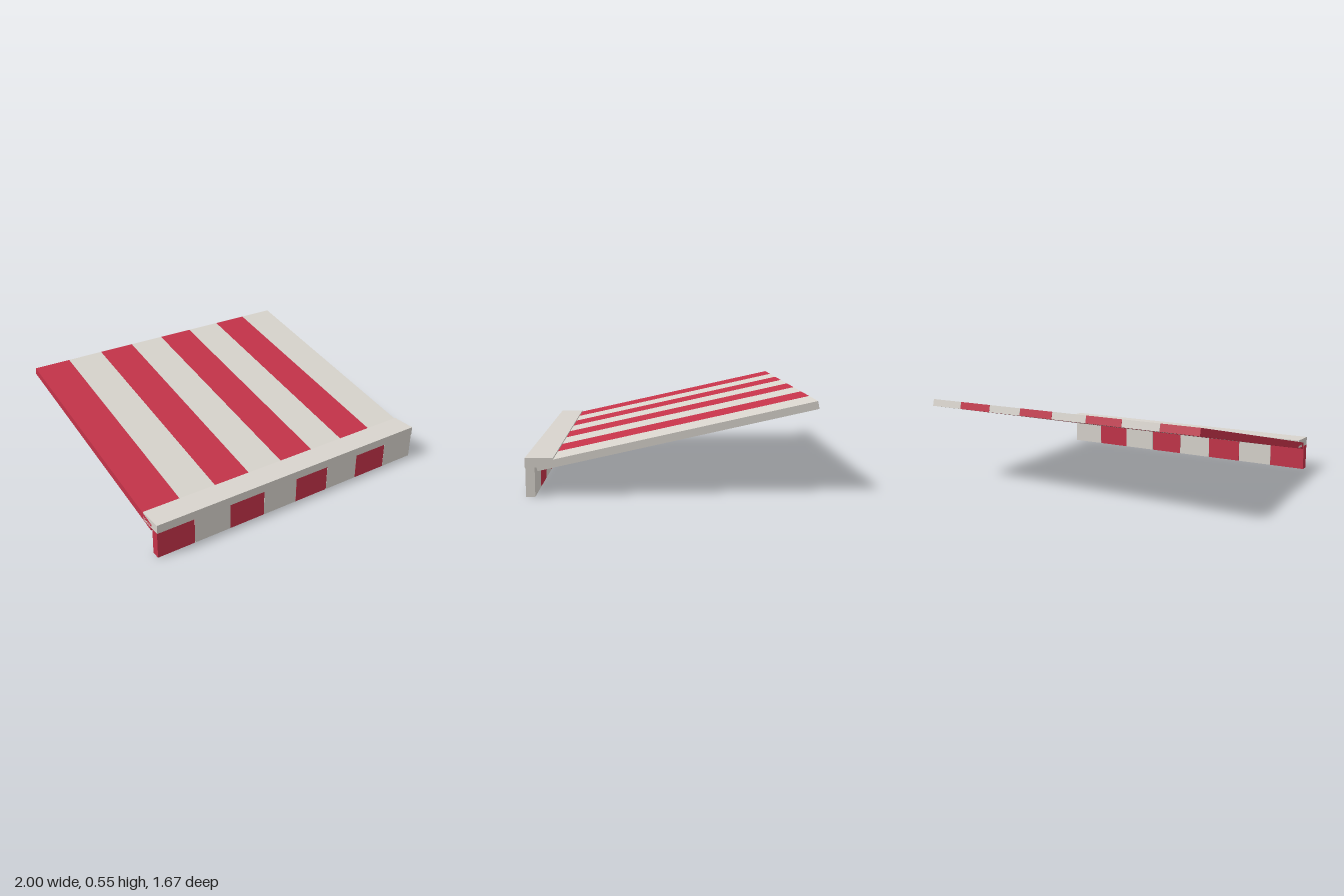
import * as THREE from 'three';

export function createModel() {
  const group = new THREE.Group();
  group.name = 'stripedAwning';

  const material = (name, color) => {
    const m = new THREE.MeshStandardMaterial({ color });
    m.name = name;
    return m;
  };
  const red = material('red', 0xc43349);
  const offWhite = material('offWhite', 0xd8d4cd);

  const addBox = (name, mat, size, position, tilt = 0) => {
    const mesh = new THREE.Mesh(new THREE.BoxGeometry(...size), mat);
    mesh.name = name;
    mesh.position.set(...position);
    mesh.rotation.x = tilt;
    group.add(mesh);
  };

  // Alternating stripes: a sloping roof slat and a hanging valance flap each
  const count = 8, width = 0.249;
  const pitch = (2 - width) / (count - 1);
  const back = { z: -0.83, y: 0.523 }, front = { z: 0.77, y: 0.172 };
  const run = front.z - back.z, drop = back.y - front.y;
  for (let i = 0; i < count; i++) {
    const x = -1 + width / 2 + i * pitch;
    const mat = i % 2 ? offWhite : red;
    addBox(`roofSlat${i + 1}`, mat, [width, 0.046, Math.hypot(run, drop)],
      [x, (back.y + front.y) / 2, (back.z + front.z) / 2], Math.atan2(drop, run));
    addBox(`valanceFlap${i + 1}`, mat, [width, 0.17, 0.053], [x, 0.085, 0.807]);
  }

  // Rail covering the joint along the front edge
  addBox('frontRail', offWhite, [2, 0.055, 0.161], [0, 0.1975, 0.7565]);

  return group;
}
